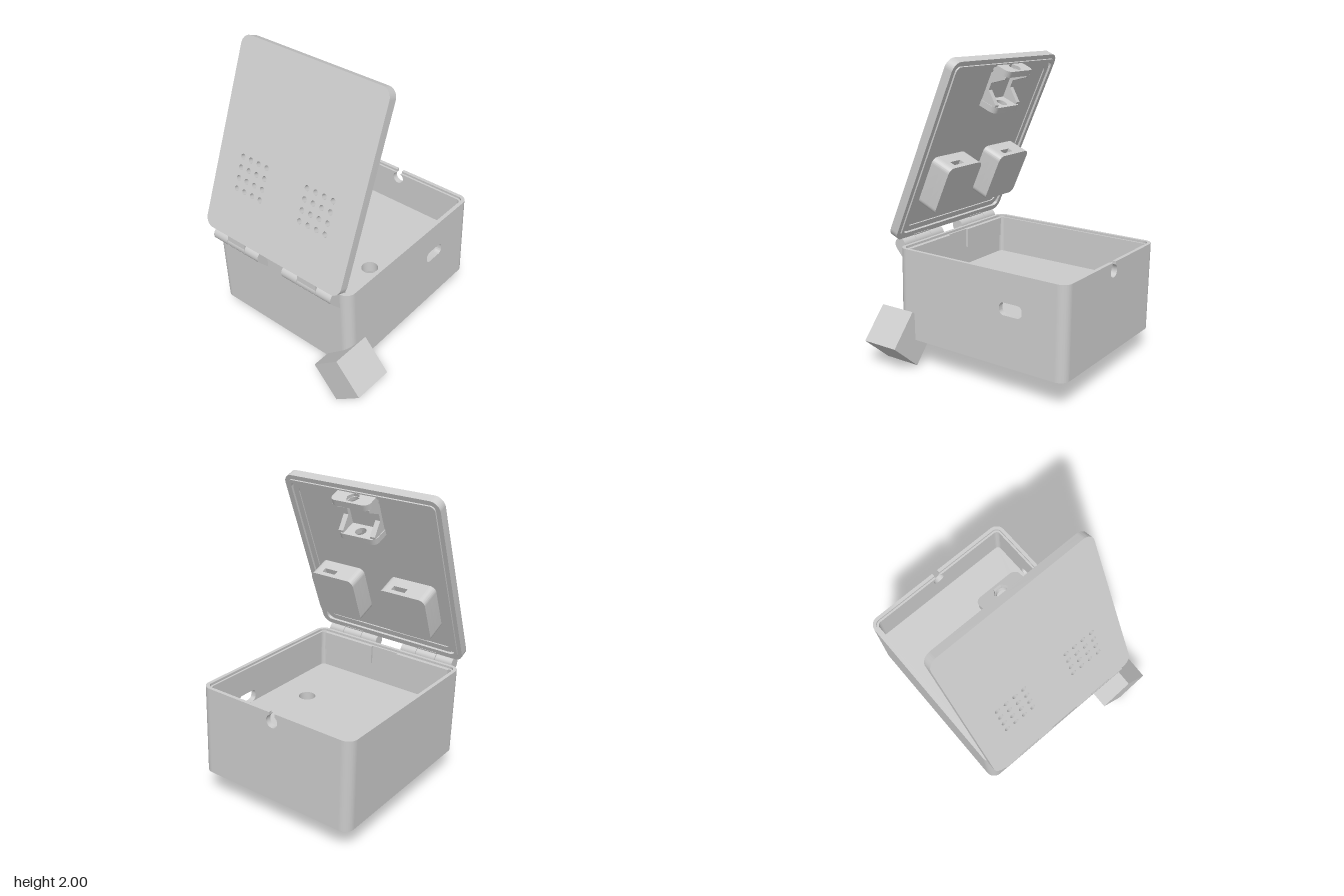
import * as THREE from 'three';
import { toCreasedNormals } from 'three/addons/utils/BufferGeometryUtils.js';

const mat = new THREE.MeshStandardMaterial({ color: 0xcccccc });
const W = 1.256, D = 1.13, R = 0.065, BASE = -0.303, TOP = 0.297;

function mesh(name, geo, parent) {
  const m = new THREE.Mesh(geo, mat);
  m.name = name;
  parent.add(m);
  return m;
}

const extrude = (shape, depth) =>
  toCreasedNormals(new THREE.ExtrudeGeometry(shape, { depth, bevelEnabled: false, curveSegments: 10 }), 0.6);

// Rounded rectangle centred on (cx, cy)
function roundRect(w, h, r, cx = 0, cy = 0, Kind = THREE.Shape) {
  const s = new Kind(), x = w / 2 - r, y = h / 2 - r, q = Math.PI / 2;
  s.absarc(cx + x, cy + y, r, 0, q);
  s.absarc(cx - x, cy + y, r, q, 2 * q);
  s.absarc(cx - x, cy - y, r, 2 * q, 3 * q);
  s.absarc(cx + x, cy - y, r, 3 * q, 4 * q);
  s.closePath();
  return s;
}

const circle = (x, y, r) => new THREE.Path().absarc(x, y, r, 0, Math.PI * 2);

// Horizontal slab from a plan shape (shape y = -z)
const slab = (shape, y0, y1) => extrude(shape, y1 - y0).rotateX(-Math.PI / 2).translate(0, y0, 0);

function ring(w, d, r, inset, y0, y1) {
  const s = roundRect(w, d, r);
  s.holes.push(roundRect(w - 2 * inset, d - 2 * inset, Math.max(r - inset, 0.03), 0, 0, THREE.Path));
  return slab(s, y0, y1);
}

// Four wall panels and four rounded corners, with port and latch openings
function walls(name, w, d, r, t, top, parent) {
  const g = new THREE.Group();
  g.name = name;
  parent.add(g);
  for (let k = 0; k < 4; k++) {
    const half = (k % 2 ? d : w) / 2 - r, out = (k % 2 ? w : d) / 2 - t, a = k * Math.PI / 2;
    const s = new THREE.Shape();
    s.moveTo(-half, BASE);
    s.lineTo(half, BASE);
    s.lineTo(half, top);
    if (k === 1) {
      s.lineTo(0.021, top);
      s.absarc(0, 0.24, 0.042, Math.PI / 2 - 0.52, Math.PI / 2 + 0.52, true);
      s.lineTo(-0.021, top);
    }
    s.lineTo(-half, top);
    s.closePath();
    if (k === 0) s.holes.push(roundRect(0.162, 0.08, 0.032, 0.247, 0.067, THREE.Path));
    const p = mesh(['frontWall', 'latchWall', 'backWall', 'hingeWall'][k], extrude(s, t), g);
    p.rotation.y = a;
    p.position.set(Math.sin(a) * out, 0, Math.cos(a) * out);

    const c = new THREE.Shape();
    c.absarc(0, 0, r, 0, Math.PI / 2, false);
    c.absarc(0, 0, r - t, Math.PI / 2, 0, true);
    c.closePath();
    const corner = mesh('wallCorner', slab(c, BASE, top), g);
    corner.rotation.y = a;
    corner.position.set((k === 0 || k === 3 ? 1 : -1) * (w / 2 - r), 0, (k < 2 ? -1 : 1) * (d / 2 - r));
  }
}

function buildBase(box) {
  // Outer skin rises above the lining to form the rim step
  walls('outerSkin', W, D, R, 0.024, TOP, box);
  walls('innerLining', W - 0.048, D - 0.048, R - 0.024, 0.014, 0.282, box);

  // Thick floor: recessed underside, then a plate with a cable hole
  const core = () => roundRect(W - 0.076, D - 0.076, 0.027);
  const under = core();
  under.holes.push(roundRect(0.65, 0.79, 0.06, 0.172, 0.045, THREE.Path));
  mesh('recessedUnderside', slab(under, BASE, -0.055), box);
  const plate = core();
  plate.holes.push(circle(-0.096, -0.293, 0.056));
  mesh('floorPlate', slab(plate, -0.055, 0.026), box);

  // Reinforcing pads inside the hinge wall
  for (const z of [-0.3, 0.3])
    mesh('hingePad', new THREE.BoxGeometry(0.02, 0.13, 0.4), box).position.set(-0.585, 0.217, z);
}

const PIVOT = new THREE.Vector3(-0.669, 0.294, 0);

// Knuckle with an arm; dir -1 hangs on the box wall, +1 on the lid edge
function knuckle(name, z0, z1, dir, parent) {
  const len = z1 - z0 - 0.004;
  const barrel = new THREE.CylinderGeometry(0.042, 0.042, len, 24).rotateX(Math.PI / 2);
  mesh(name + 'Barrel', barrel, parent).position.set(PIVOT.x, PIVOT.y, (z0 + z1) / 2);
  const s = new THREE.Shape();
  const pts = [[-0.042, 0], [-0.03, dir * 0.03], [0.05, dir * (dir < 0 ? 0.12 : 0.06)], [0.05, 0]];
  s.setFromPoints(pts.map(([x, y]) => new THREE.Vector2(PIVOT.x + x, PIVOT.y + y)));
  mesh(name + 'Arm', extrude(s, len), parent).position.z = z0 + 0.002;
}

function buildLid(lid) {
  // Outer plate with two speaker grilles
  const top = roundRect(W, D, R);
  for (const side of [-1, 1])
    for (let i = 0; i < 4; i++)
      for (let j = 0; j < 4; j++)
        top.holes.push(circle(-0.2 + (i - 1.5) * 0.07, side * 0.265 + (j - 1.5) * 0.067, 0.018));
  mesh('lidPlate', slab(top, 0.31, 0.357), lid);
  mesh('lidEdge', ring(W, D, R, 0.05, TOP, 0.31), lid);
  mesh('lidLip', ring(W - 0.06, D - 0.06, R - 0.03, 0.02, 0.287, TOP), lid);
  mesh('lidBorder', ring(W - 0.1, D - 0.1, 0.06, 0.04, 0.302, 0.31), lid);

  // Speaker pods, with a connector slot cut in one end
  for (const side of [-1, 1]) {
    const pod = new THREE.Group();
    pod.name = 'speakerPod';
    pod.position.set(-0.206, 0, side * 0.27);
    lid.add(pod);
    const full = roundRect(0.34, 0.335, 0.04);
    const cut = new THREE.Shape();
    cut.moveTo(0.17, 0.01);
    cut.lineTo(0.11, 0.01);
    cut.lineTo(0.11, -0.09);
    cut.lineTo(0.17, -0.09);
    cut.absarc(0.13, -0.1275, 0.04, 0, -Math.PI / 2, true);
    cut.absarc(-0.13, -0.1275, 0.04, -Math.PI / 2, -Math.PI, true);
    cut.absarc(-0.13, 0.1275, 0.04, Math.PI, Math.PI / 2, true);
    cut.absarc(0.13, 0.1275, 0.04, Math.PI / 2, 0, true);
    cut.closePath();
    mesh('podFace', slab(full, 0.165, 0.195), pod);
    mesh('podSlotLayer', slab(cut, 0.195, 0.232), pod);
    mesh('podBase', slab(full, 0.232, 0.31), pod);
  }

  // Latch bracket: two lugs with hex pockets, braced by sloping side gussets
  for (const [x, r, sides] of [[0.3, 0.045, 6], [0.32, 0.036, 20], [0.55, 0.036, 20], [0.57, 0.045, 6]]) {
    const s = new THREE.Shape();
    s.moveTo(0.14, 0.31);
    s.lineTo(-0.14, 0.31);
    s.absarc(-0.1, 0.23, 0.04, Math.PI, Math.PI * 1.5);
    s.absarc(0.1, 0.23, 0.04, Math.PI * 1.5, Math.PI * 2);
    s.closePath();
    const pts = [];
    for (let i = 0; i < sides; i++) {
      const a = i / sides * Math.PI * 2;
      pts.push(new THREE.Vector2(Math.cos(a) * r, 0.246 + Math.sin(a) * r));
    }
    s.holes.push(new THREE.Path(pts));
    mesh('latchLug', extrude(s, 0.02).rotateY(Math.PI / 2), lid).position.x = x;
  }
  const gusset = new THREE.Shape();
  gusset.setFromPoints([[0.34, 0.31], [0.34, 0.2], [0.355, 0.2], [0.42, 0.285], [0.47, 0.285], [0.535, 0.2], [0.55, 0.2], [0.55, 0.31]]
    .map(([x, y]) => new THREE.Vector2(x, y)));
  for (const z of [-0.135, 0.1]) mesh('latchGusset', extrude(gusset, 0.035), lid).position.z = z;
}

export function createModel() {
  const model = new THREE.Group();
  model.name = 'hingedCase';

  const box = new THREE.Group();
  box.name = 'case';
  box.position.set(0.046, 0.476, -0.095);
  box.rotation.set(-0.029, 0.038, 0, 'YXZ');
  model.add(box);
  buildBase(box);

  // Lid swings open about the hinge axis
  const hinge = new THREE.Group();
  hinge.name = 'lidHinge';
  hinge.position.copy(PIVOT);
  hinge.rotation.z = THREE.MathUtils.degToRad(67);
  box.add(hinge);
  const lid = new THREE.Group();
  lid.name = 'lid';
  lid.position.copy(PIVOT).negate();
  hinge.add(lid);
  buildLid(lid);

  // Two hinges, three knuckles each
  for (const z of [0.1, -0.5]) {
    knuckle('caseKnuckle', z, z + 0.13, -1, box);
    knuckle('lidKnuckle', z + 0.13, z + 0.28, 1, lid);
    knuckle('caseKnuckle', z + 0.28, z + 0.4, -1, box);
  }

  // Loose cube standing on its edge
  const cube = mesh('cube', new THREE.BoxGeometry(0.264, 0.265, 0.265), model);
  cube.position.set(-0.556, 0.194, 0.502);
  cube.rotation.set(Math.PI / 4 + 0.04, 0, 0.03, 'ZYX');
  return model;
}
